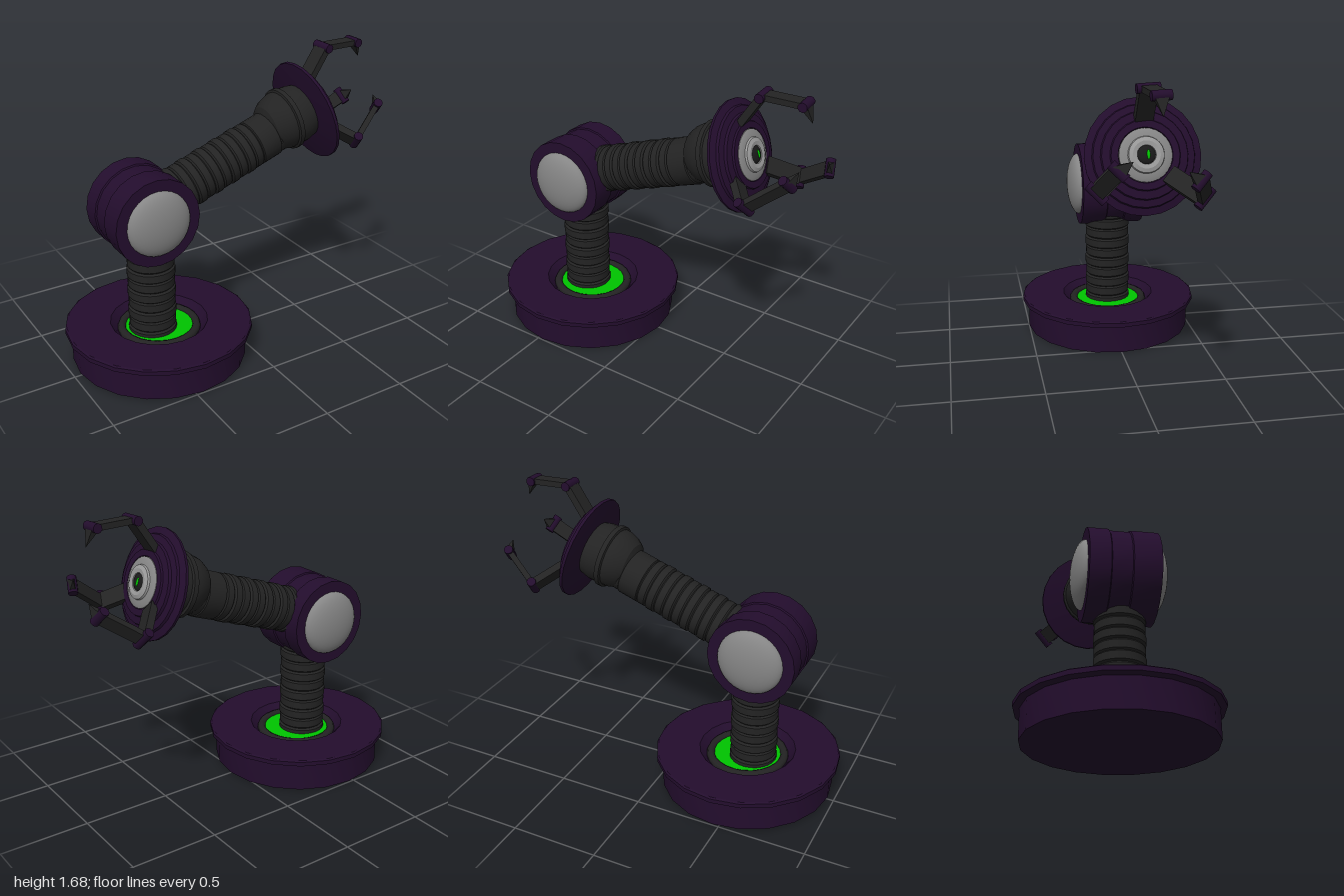
import * as THREE from 'three';
import { toCreasedNormals } from 'three/addons/utils/BufferGeometryUtils.js';

const mat = (color) => new THREE.MeshStandardMaterial({ color, side: THREE.DoubleSide });
const PURPLE = mat(0x230d2d), DARK = mat(0x232323), GREY = mat(0x868686);
const LIGHT = mat(0x999999), BLACK = mat(0x1a1a1a), GREEN = mat(0x00c400);

const V = (x, y, z) => new THREE.Vector3(x, y, z);

function part(parent, name, geometry, material) {
  const mesh = new THREE.Mesh(geometry, material);
  mesh.name = name;
  parent.add(mesh);
  return mesh;
}

function group(parent, name, x, y, z, pitch = 0) {
  const g = new THREE.Group();
  g.name = name;
  g.position.set(x, y, z);
  g.rotation.z = pitch;
  parent.add(g);
  return g;
}

// turned solid from [radius, height] pairs
function turned(points, sides = 20) {
  const profile = points.map(([r, y]) => new THREE.Vector2(r, y));
  return toCreasedNormals(new THREE.LatheGeometry(profile, sides), 0.45);
}

// hose profile: raised bands with narrow grooves between them
function ribs(radius, y0, y1, count) {
  const points = [], step = (y1 - y0) / count;
  for (let i = 0; i < count; i++) {
    const y = y0 + i * step, r = radius - (i % 2) * 0.004;
    points.push([radius - 0.012, y], [r, y + step * 0.15],
      [r, y + step * 0.85], [radius - 0.012, y + step]);
  }
  return points;
}

// place a mesh built along y between two points, its x axis along `side`
function span(mesh, from, to, side) {
  const dir = to.clone().sub(from).normalize();
  const x = side.clone().normalize();
  const basis = new THREE.Matrix4().makeBasis(x, dir, x.clone().cross(dir));
  mesh.quaternion.setFromRotationMatrix(basis);
  mesh.position.copy(from).add(to).multiplyScalar(0.5);
}

// two-link finger with hinge pins and a pointed tip
function addClaw(parent, name, root, elbow, knuckle, tip) {
  const claw = group(parent, name, 0, 0, 0);
  const side = elbow.clone().sub(root).cross(knuckle.clone().sub(elbow)).normalize();
  const link = (label, a, b, width, depth) =>
    span(part(claw, label, new THREE.BoxGeometry(width, a.distanceTo(b), depth), DARK), a, b, side);
  link('lowerLink', root, elbow, 0.095, 0.04);
  link('upperLink', elbow, knuckle, 0.078, 0.032);

  [['elbowPin', elbow], ['knucklePin', knuckle]].forEach(([label, p], i) => {
    const pin = part(claw, label, new THREE.CylinderGeometry(0.026, 0.026, 0.12 - i * 0.02, 10), PURPLE);
    pin.quaternion.setFromUnitVectors(V(0, 1, 0), side);
    pin.position.copy(p);
  });

  const wedge = new THREE.ConeGeometry(0.7071, knuckle.distanceTo(tip), 4, 1);
  wedge.rotateY(Math.PI / 4).scale(0.08, 1, 0.04);
  span(part(claw, 'clawTip', toCreasedNormals(wedge, 0.3), DARK), knuckle, tip, side);
}

export function createModel() {
  const model = new THREE.Group();
  model.name = 'roboticArm';

  // base with a sunken glowing well
  const base = group(model, 'base', -0.465, 0.007, 0, -0.014);
  part(base, 'baseBody', turned([[0, 0], [0.5, 0], [0.5, 0.163], [0.535, 0.172], [0.535, 0.197],
    [0.525, 0.204], [0.28, 0.204], [0.24, 0.155], [0, 0.145]]), PURPLE);
  const ring = part(base, 'wellRing', new THREE.TorusGeometry(0.215, 0.024, 8, 24), DARK);
  ring.rotation.x = Math.PI / 2;
  ring.position.y = 0.16;
  const glow = part(base, 'wellGlow', new THREE.CylinderGeometry(0.2, 0.2, 0.02, 24), GREEN);
  glow.position.y = 0.155;

  // upright ribbed column
  const column = part(model, 'column', turned(ribs(0.137, 0.14, 0.76, 10), 24), DARK);
  column.position.set(-0.5, 0, -0.005);

  // shoulder drum with a grey dome on each end
  const shoulder = group(model, 'shoulder', -0.53, 0.9, -0.015);
  const drum = part(shoulder, 'shoulderDrum', turned([[0, -0.186], [0.25, -0.186], [0.25, -0.075],
    [0.242, -0.07], [0.242, 0.035], [0.25, 0.04], [0.25, 0.186], [0, 0.186]]), PURPLE);
  drum.rotation.x = Math.PI / 2;
  for (const s of [1, -1]) {
    const dome = part(shoulder, s > 0 ? 'frontDome' : 'backDome',
      new THREE.SphereGeometry(0.187, 28, 10, 0, Math.PI * 2, 0, Math.PI / 2), GREY);
    dome.scale.y = 0.37;
    dome.rotation.x = s * Math.PI / 2;
    dome.position.z = s * 0.184;
  }

  // raised arm, ribbed near the shoulder and plain near the wrist
  const arm = group(model, 'arm', -0.53, 0.905, -0.015, 0.34 - Math.PI / 2);
  part(arm, 'armHose', turned([...ribs(0.137, 0.18, 0.74, 10), [0.133, 0.745], [0.133, 0.86],
    [0.127, 0.865], [0.127, 0.95]], 24), DARK);

  // bulging wrist with a collar
  const wrist = group(model, 'wrist', 0.396, 1.262, -0.015, 0.24 - Math.PI / 2);
  part(wrist, 'wristBulb', turned([[0.08, -0.15], [0.125, -0.13], [0.15, -0.095], [0.166, -0.05],
    [0.17, -0.02], [0.183, -0.015], [0.183, 0.012], [0.17, 0.017], [0.17, 0.07], [0.155, 0.13], [0, 0.16]], 24), DARK);

  // stepped head plate
  const head = group(model, 'head', 0.543, 1.289, -0.014, 0.3 - Math.PI / 2);
  part(head, 'headPlate', turned([[0, -0.03], [0.17, -0.03], [0.3, -0.012], [0.302, 0.004], [0.265, 0.018],
    [0.26, 0.032], [0.225, 0.04], [0.22, 0.054], [0.18, 0.06], [0.175, 0.07], [0.14, 0.07], [0.13, 0.04], [0, 0.04]], 24), PURPLE);

  // eye: grey bowl, raised ring, dark pupil and glowing slit
  part(head, 'eyeBowl', turned([[0.136, 0.045], [0.136, 0.07], [0.12, 0.078], [0.09, 0.082], [0, 0.084]], 28), GREY);
  part(head, 'eyeRing', turned([[0.096, 0.075], [0.09, 0.092], [0.07, 0.1], [0.048, 0.096], [0.046, 0.08]], 28), LIGHT);
  const pupil = part(head, 'pupil', new THREE.SphereGeometry(0.048, 20, 10), BLACK);
  pupil.scale.y = 0.35;
  pupil.position.y = 0.086;
  const slit = part(head, 'pupilSlit', new THREE.SphereGeometry(1, 12, 8), GREEN);
  slit.scale.set(0.025, 0.01, 0.009);
  slit.position.set(0, 0.099, -0.008);

  // three claws around the eye
  addClaw(model, 'topClaw', V(0.525, 1.455, -0.015), V(0.652, 1.648, -0.015),
    V(0.88, 1.645, -0.028), V(0.925, 1.55, -0.028));
  addClaw(model, 'leftClaw', V(0.59, 1.23, 0.12), V(0.715, 1.15, 0.25),
    V(0.91, 1.3, 0.178), V(0.94, 1.345, 0.11));
  addClaw(model, 'rightClaw', V(0.63, 1.21, -0.13), V(0.765, 1.115, -0.28),
    V(0.96, 1.25, -0.207), V(0.985, 1.3, -0.14));

  return model;
}
